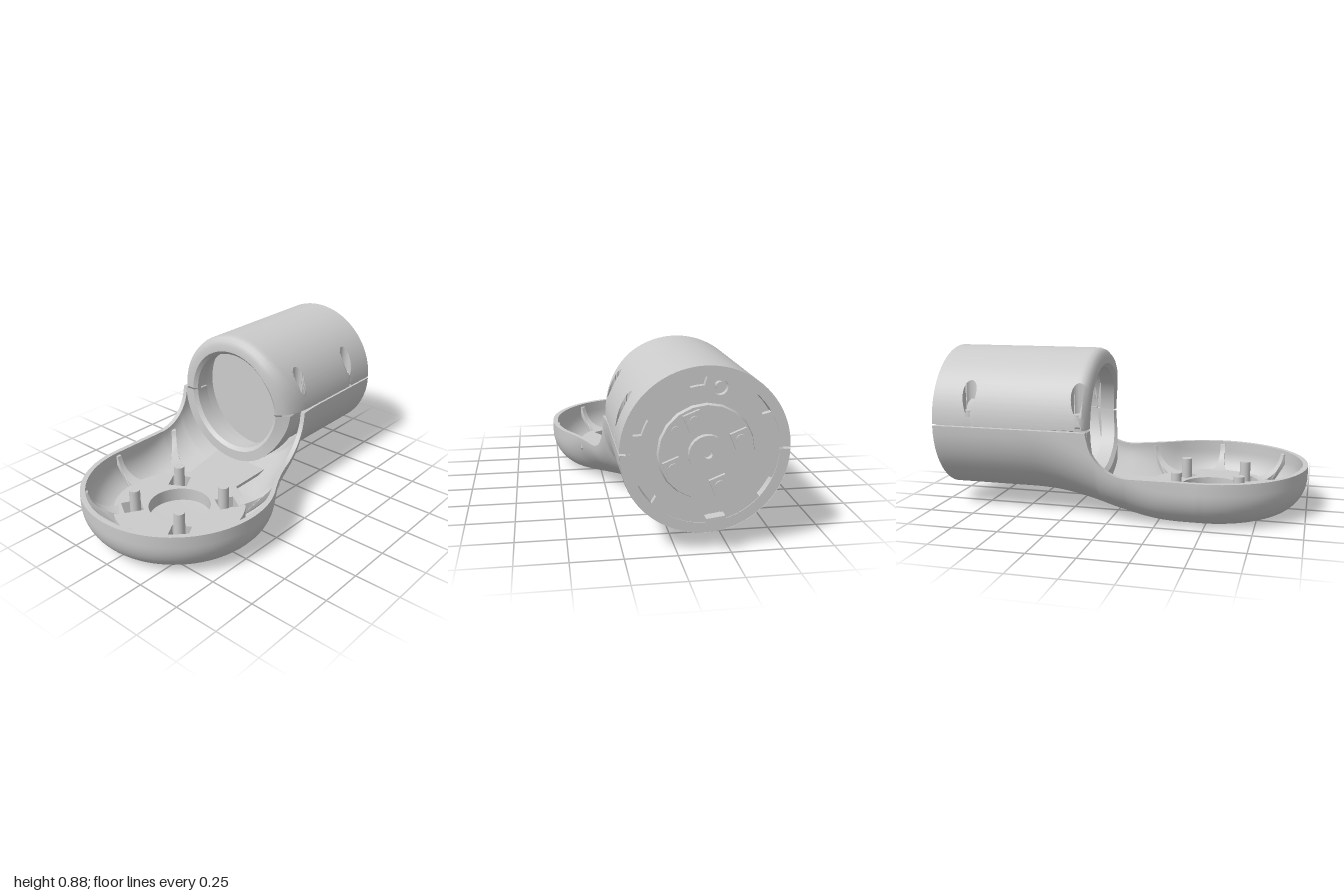
import * as THREE from 'three';
import { toCreasedNormals } from 'three/addons/utils/BufferGeometryUtils.js';

const grey = new THREE.MeshStandardMaterial({ color: 0xcccccc, side: THREE.DoubleSide });
const { lerp, smoothstep } = THREE.MathUtils;
const BX = -0.475, BR = 0.525;               // bowl centre and radius
const AY = 0.48, AZ = -0.13, AR = 0.395;     // barrel axis and radius
const END = 0.955, WALL = 0.028;
const SPLIT = 0.016;                         // half angle of the gap between the shells

function add(parent, name, geo, x = 0, y = 0, z = 0) {
  const mesh = new THREE.Mesh(geo, grey);
  mesh.name = name;
  mesh.position.set(x, y, z);
  parent.add(mesh);
  return mesh;
}

// Surface through rows of points
function loft(rows, closed = false) {
  const n = rows[0].length, index = [];
  for (let i = 0; i < rows.length - 1; i++) {
    for (let j = 0; j < (closed ? n : n - 1); j++) {
      const a = i * n + j, b = i * n + (j + 1) % n;
      index.push(a, b, a + n, b, b + n, a + n);
    }
  }
  const geo = new THREE.BufferGeometry();
  geo.setAttribute('position', new THREE.Float32BufferAttribute(rows.flat(2), 3));
  geo.setIndex(index);
  return toCreasedNormals(geo, 0.6);
}

// Moves every vertex by a rule
function reshape(geo, rule) {
  const p = geo.attributes.position, v = new THREE.Vector3();
  for (let i = 0; i < p.count; i++) {
    rule(v.fromBufferAttribute(p, i));
    p.setXYZ(i, v.x, v.y, v.z);
  }
  return toCreasedNormals(geo, 0.6);
}

const range = (n, f) => Array.from({ length: n + 1 }, (_, i) => f(i / n));

// Body outline rules along x
function frontZ(x) {
  if (x < -0.2) return Math.sqrt(Math.max(0, BR * BR - (x - BX) ** 2));
  const t = Math.min(1, (x + 0.2) / 0.65);
  const h = 1 - 3 * t * t + 2 * t ** 3;
  return 0.447 * h + 0.265 * (1 - h) - 0.4 * t * (1 - t) ** 2;
}
const bottomY = x => 0.085 * smoothstep(x, -0.4, 0.5);
function rimY(x, side) {
  const t = THREE.MathUtils.clamp((x - (side > 0 ? 0.05 : -0.12)) / 0.22, 0, 1);
  return 0.25 + 0.226 * (1 - Math.sqrt(1 - t * t));
}
function dims(x) {
  const zf = frontZ(x), W = (zf + BR) / 2, k = smoothstep(x, -0.3, 0.4);
  return { zc: (zf - BR) / 2, W, a: lerp(0.18, W, k), b: lerp(0.19, AR, k), yb: bottomY(x) };
}
// Half of a U section, from rim to floor: [sideways offset, height]
function halfSection(x, side, inset) {
  const d = dims(x), rim = rimY(x, side), yb = d.yb + inset;
  const a = d.a - inset, b = Math.min(d.b - inset, rim - yb);
  const pts = range(14, t => {
    const q = t * Math.PI / 2;
    return [d.W - inset - a + a * Math.cos(q), yb + b - b * Math.sin(q)];
  });
  return [[d.W - inset, rim], ...pts];
}
function section(x) {
  const zc = dims(x).zc;
  const run = inset => [
    ...halfSection(x, 1, inset).map(([w, y]) => [x, y, zc + w]),
    ...halfSection(x, -1, inset).reverse().map(([w, y]) => [x, y, zc - w])];
  return [...run(0), ...run(WALL).reverse()];
}

// Start of the barrel, its front corner rounded in plan
function barrelStart(z) {
  const t = THREE.MathUtils.clamp((z - 0.08) / 0.187, 0, 1);
  return 0.1 + 0.17 * (1 - Math.sqrt(1 - t * t));
}
const screws = [[0.29, 0.215], [0.75, 0.22], [0.15, -0.48], [0.75, -0.483]];
// Sinks points inside a screw bore and gathers its neighbours on a clean edge
function drill([x, y, z]) {
  for (const [sx, sz] of screws) {
    const d = Math.hypot(x - sx, z - sz);
    if (d > 0.045) continue;
    const inside = d < 0.037;
    const k = d < 0.029 ? 1 : (inside ? 0.0368 : 0.0375) / d;
    const pz = sz + (z - sz) * k;
    const top = AY + Math.sqrt(Math.max(0, AR * AR - (pz - AZ) ** 2));
    return [sx + (x - sx) * k, inside ? Math.min(top, 0.535) : top, pz];
  }
  return [x, y, z];
}
// profile entries: [radius, offset from start, share of the way to the end, drilled]
function barrel(profile, from, to, steps) {
  return loft(profile.map(([r, dx, u, drilled]) => range(steps, t => {
    const q = lerp(from, to, t), z = AZ + r * Math.cos(q);
    const p = [lerp(barrelStart(z) + dx, END, u), AY + r * Math.sin(q), z];
    return drilled ? drill(p) : p;
  })));
}

function disc(r, depth, sides = 32) {
  return new THREE.CylinderGeometry(r, r, depth, sides).rotateX(Math.PI / 2);
}
function circlePath(r, x = 0, y = 0) {
  return new THREE.Path().absarc(x, y, r, 0, Math.PI * 2, true);
}

export function createModel() {
  const model = new THREE.Group();

  // Lower shell: round half of the bowl, then the blend into the half barrel
  const bowlProfile = [...halfSection(BX, 1, 0), [0, 0], [0, WALL], ...halfSection(BX, 1, WALL).reverse()];
  add(model, 'bowlShell', loft(range(40, t => {
    const q = Math.PI * (0.5 + t);
    return bowlProfile.map(([r, y]) => [BX + r * Math.cos(q), y, r * Math.sin(q)]);
  }), true));
  const stations = [
    ...range(18, t => lerp(BX, -0.13, t)),
    ...range(48, t => lerp(-0.12, 0.28, t)),
    ...range(16, t => lerp(0.3, END, t))];
  add(model, 'lowerShell', loft(stations.map(section), true));

  // Upper shell with rounded lip and vertical screw bores
  add(model, 'upperShell', barrel([
    [0.29, 0.1, 0], [0.29, 0.02, 0], [0.31, 0, 0], [0.345, 0, 0], [0.37, 0.008, 0], [0.387, 0.025, 0],
    ...range(110, t => [AR, 0.05, t, true]),
    [0.345, 0, 1], [0.345, 0.1, 0], [0.29, 0.1, 0]], SPLIT, Math.PI - SPLIT, 150));
  // Lining, end rim and lip of the lower half barrel
  add(model, 'lowerLining', barrel([
    [0.394, 0, 1], [0.345, 0, 1], [0.345, 0.1, 0], [0.29, 0.1, 0], [0.29, 0.02, 0], [0.31, 0, 0],
    [0.37, 0, 0], [0.37, 0.1, 0]], Math.PI + SPLIT, Math.PI * 2 - SPLIT, 60));
  add(model, 'core', new THREE.CylinderGeometry(0.343, 0.343, 0.61, 64).rotateZ(Math.PI / 2), 0.61, AY, AZ);
  for (const [x, z] of screws) {
    add(model, 'shellScrew', new THREE.CylinderGeometry(0.026, 0.026, 0.03, 16), x, 0.55, z);
  }

  // Floor plate with a round recess, post sockets and a tongue into the barrel
  const plate = new THREE.Shape();
  plate.absarc(BX, 0, 0.36, 0.6, Math.PI * 2 - 0.3, false);
  plate.lineTo(0.13, -0.1);
  plate.lineTo(0.13, 0.27);
  plate.lineTo(-0.12, 0.22);
  plate.closePath();
  plate.holes.push(circlePath(0.17, BX, 0));
  for (const sx of [-1, 1]) {
    for (const sz of [-1, 1]) {
      const x = BX + sx * 0.17, z = sz * 0.17;
      plate.holes.push(new THREE.Path([[0, 0.075], [0.075, 0], [0, -0.075], [-0.075, 0]]
        .map(([u, v]) => {
          const c = Math.cos(0.25 * sx * sz), s = Math.sin(0.25 * sx * sz);
          return new THREE.Vector2(x + sx * 0.012 + u * c - v * s, -z - sz * 0.012 + u * s + v * c);
        })));
      add(model, 'post', new THREE.CylinderGeometry(0.03, 0.03, 0.18, 20), x, 0.12, z);
    }
  }
  const plateGeo = new THREE.ExtrudeGeometry(plate, { depth: 0.075, bevelEnabled: false, curveSegments: 40 })
    .rotateX(-Math.PI / 2).translate(0, 0.028, 0);
  add(model, 'floorPlate', reshape(plateGeo, v => { if (v.x > -0.2) v.y = Math.max(v.y, 0.085); }));

  // Curved gussets between the pockets, flaring towards the plate
  for (const [deg, reach] of [[90, 0.51], [140, 0.51], [180, 0.51], [220, 0.51], [270, 0.51], [312, 0.67], [42, 0.55]]) {
    const s = new THREE.Shape();
    s.moveTo(0.33, 0.03);
    s.quadraticCurveTo(reach - 0.1, 0.06, reach, 0.19);
    s.lineTo(reach, 0.235);
    s.lineTo(reach - 0.025, 0.23);
    s.quadraticCurveTo(reach - 0.05, 0.115, 0.33, 0.103);
    const ribGeo = new THREE.ExtrudeGeometry(s, { depth: 0.026, bevelEnabled: false }).translate(0, 0, -0.013);
    const rib = add(model, 'rib', reshape(ribGeo, v => {
      v.z *= 1 + 2.5 * ((reach - v.x) / (reach - 0.33)) ** 2;
    }), BX, 0, 0);
    rib.rotation.y = -deg * Math.PI / 180;
  }

  // Thin cover panel following the underside
  add(model, 'undersidePanel', loft(range(48, t => {
    const x = lerp(BX - 0.32, 0.3, t);
    const half = x < -0.3 ? Math.sqrt(Math.max(0, 0.1024 - (x - BX) ** 2)) : lerp(0.268, 0.11, (x + 0.3) / 0.6);
    const mid = -0.12 * smoothstep(x, -0.3, 0.3);
    return range(12, v => {
      const z = mid + lerp(-half, half, v), d = dims(x);
      const over = x < BX ? 0 : Math.max(0, Math.abs(z - d.zc) - (d.W - d.a));
      return [x, d.yb + d.b * (1 - Math.sqrt(1 - Math.min(1, over / d.a) ** 2)) - 0.002, z];
    });
  })));

  // End face, built looking along the barrel axis
  const face = new THREE.Group();
  face.name = 'endFace';
  face.position.set(0, AY, AZ);
  face.rotation.y = Math.PI / 2;
  model.add(face);
  const notches = [98, 39, 157, 215, -33, -82];
  const outline = range(180, t => {
    const deg = t * 360 - 90;
    const cut = notches.some(n => Math.abs((deg - n + 540) % 360 - 180) < 7.5);
    const r = cut ? 0.305 : 0.345, q = deg * Math.PI / 180;
    return new THREE.Vector2(r * Math.cos(q), r * Math.sin(q));
  }).slice(0, -1);
  const endPlate = new THREE.Shape(outline);
  endPlate.holes.push(circlePath(0.036, 0.06, 0.295));
  add(face, 'endPlate', new THREE.ExtrudeGeometry(endPlate, { depth: 0.03, bevelEnabled: false }), 0, 0, 0.921);
  add(face, 'endScrew', disc(0.02, 0.03, 16), 0.06, 0.3, 0.94);
  add(face, 'flange', new THREE.CylinderGeometry(0.22, 0.23, 0.03, 20).rotateX(Math.PI / 2), 0, 0, 0.955);

  const hub = new THREE.Shape().absarc(0, 0, 0.0875, 0, Math.PI * 2, false);
  hub.holes.push(circlePath(0.021));
  add(face, 'hub', new THREE.ExtrudeGeometry(hub, { depth: 0.035, bevelEnabled: false, curveSegments: 12 }), 0, 0, 0.965);

  // Four square bosses with round bolts
  for (let i = 0; i < 4; i++) {
    const q = (112 + i * 90) * Math.PI / 180, u = 0.165 * Math.cos(q), v = 0.165 * Math.sin(q);
    const boss = add(face, 'boltBoss', new THREE.BoxGeometry(0.08, 0.08, 0.03), u, v, 0.972);
    boss.rotation.z = q;
    add(face, 'bolt', disc(0.023, 0.03, 16), u, v, 0.98);
  }
  add(face, 'locatingPin', disc(0.02, 0.02, 16), -0.142, 0.108, 0.967);
  const tab = add(face, 'alignmentTab', new THREE.BoxGeometry(0.09, 0.05, 0.08), 0.045, -0.328, 0.96);
  tab.rotation.z = 0.13;

  return model;
}
